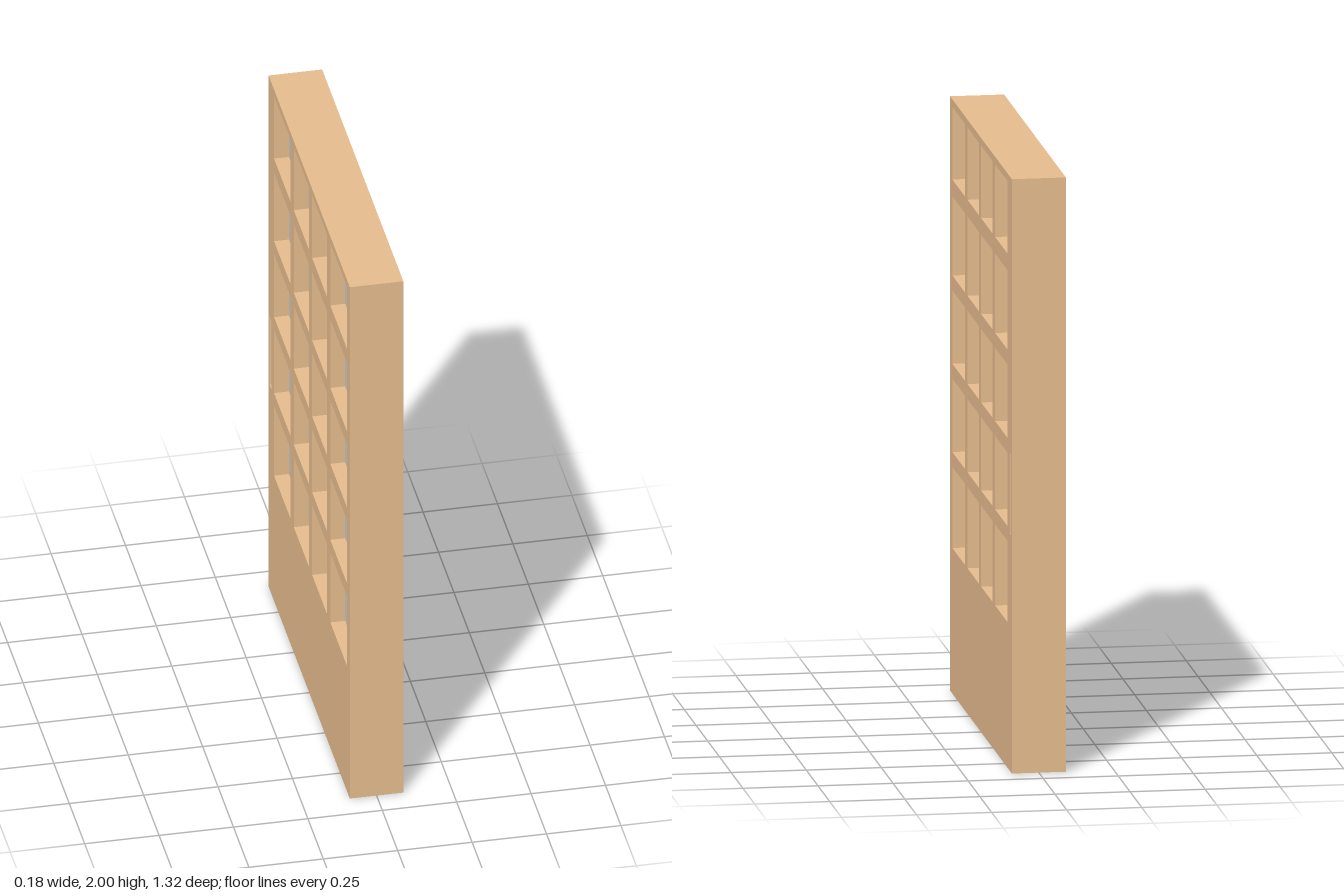
import * as THREE from 'three';

const HALF = 0.09; // half the door thickness

// Openings as [min, max]; u runs from the front edge to the back edge (u = -z)
const COLUMNS = [[-0.61, -0.342], [-0.288, -0.047], [0.004, 0.25], [0.302, 0.57]];
const ROWS = [[0.49, 0.763], [0.813, 1.06], [1.11, 1.357], [1.407, 1.674], [1.73, 1.974]];
const GRIP_U = [0.613, 0.644], GRIP_Y = [0.8, 1.07];

function trace(path, [u0, u1], [y0, y1]) {
  path.moveTo(u0, y0);
  path.lineTo(u1, y0);
  path.lineTo(u1, y1);
  path.lineTo(u0, y1);
  path.closePath();
  return path;
}

// Slab that fills one opening, centred in the thickness
function filler(name, [u0, u1], [y0, y1], thickness, material) {
  const mesh = new THREE.Mesh(new THREE.BoxGeometry(thickness, y1 - y0, u1 - u0), material);
  mesh.position.set(0, (y0 + y1) / 2, -(u0 + u1) / 2);
  mesh.name = name;
  return mesh;
}

export function createModel() {
  const door = new THREE.Group();
  door.name = 'slidingDoor';
  const wood = new THREE.MeshStandardMaterial({ color: 0xe6bc8e });
  const paper = new THREE.MeshStandardMaterial({ color: 0xcccccc });

  // Wooden frame, cut through by the lattice and the finger grip
  const outline = trace(new THREE.Shape(), [-0.658, 0.658], [0, 2]);
  for (const row of ROWS)
    for (const column of COLUMNS) outline.holes.push(trace(new THREE.Path(), column, row));
  outline.holes.push(trace(new THREE.Path(), GRIP_U, GRIP_Y));
  const geometry = new THREE.ExtrudeGeometry(outline, { depth: HALF * 2, bevelEnabled: false });
  geometry.translate(0, 0, -HALF);
  geometry.rotateY(Math.PI / 2);
  const frame = new THREE.Mesh(geometry, wood);
  frame.name = 'frame';
  door.add(frame);

  // Thick panes, set back from both faces
  const panes = new THREE.Group();
  panes.name = 'panes';
  for (const row of ROWS)
    for (const column of COLUMNS) panes.add(filler('pane', column, row, 0.08, paper));
  door.add(panes);

  // Floor of the finger grip, leaving a shallow recess on both faces
  door.add(filler('gripFloor', GRIP_U, GRIP_Y, 0.12, wood));
  return door;
}
